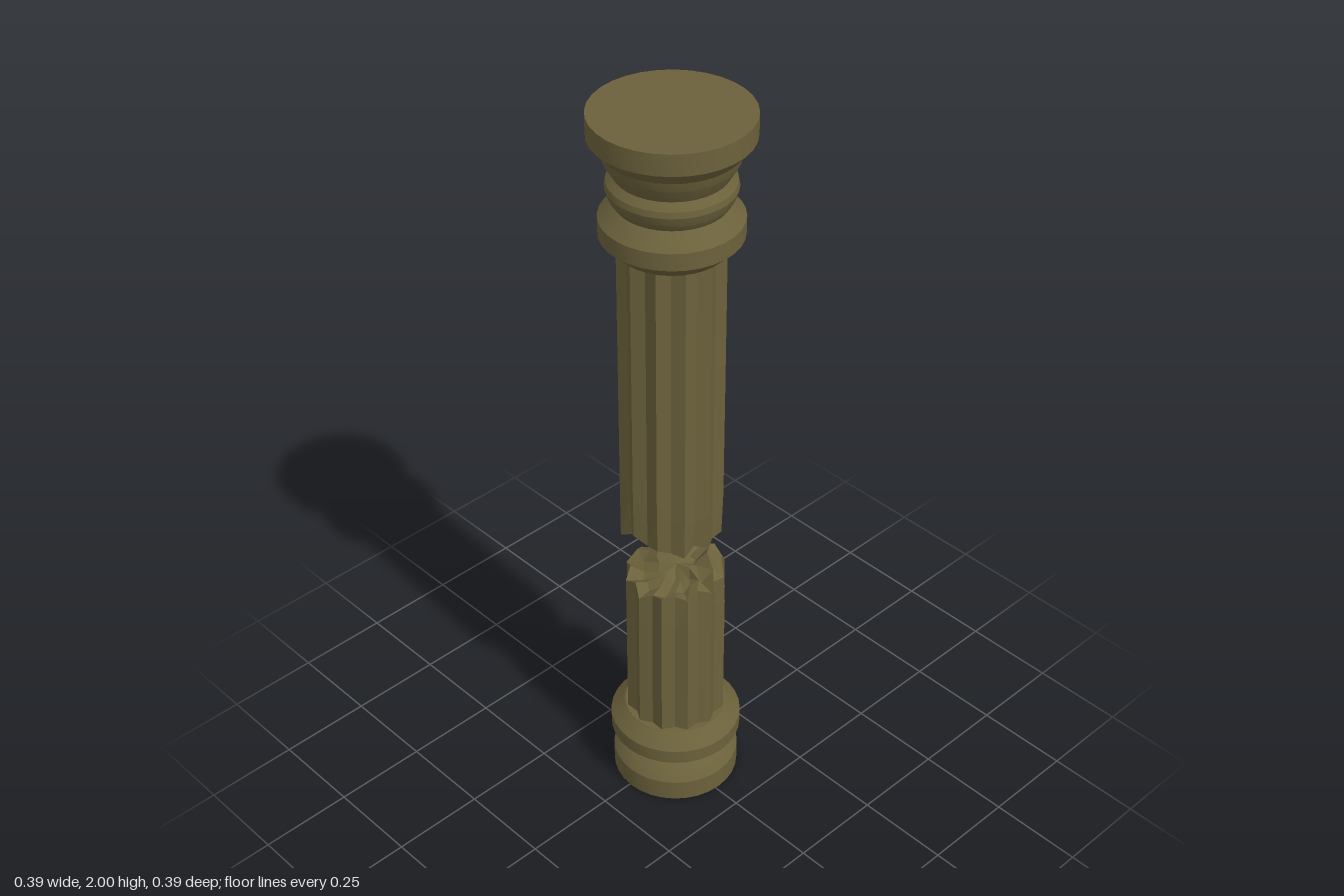
import * as THREE from 'three';
import { toCreasedNormals } from 'three/addons/utils/BufferGeometryUtils.js';

const SIDES = 24; // twelve flutes: ridge, groove, ridge, groove...
const stone = new THREE.MeshStandardMaterial({ color: 0x6b613b });
const roughStone = new THREE.MeshStandardMaterial({ color: 0x6b613b, flatShading: true });

// repeatable noise in -1..1
function noise(i, k) {
  const s = Math.sin(i * 127.1 + k * 311.7) * 43758.5453;
  return 2 * (s - Math.floor(s)) - 1;
}

// turned moulding from [radius, height] pairs, bottom to top
function moulding(name, profile) {
  const points = profile.map(([r, y]) => new THREE.Vector2(r, y));
  const geometry = toCreasedNormals(new THREE.LatheGeometry(points, 32), 0.3);
  const mesh = new THREE.Mesh(geometry, stone);
  mesh.name = name;
  return mesh;
}

// one ring of the fluted outline; height(x, z, j) gives each corner's y
function ring(scale, height, roughness = 0, seed = 0) {
  return Array.from({ length: SIDES }, (_, j) => {
    const a = (j / SIDES) * Math.PI * 2;
    const r = (j % 2 ? 0.121 : 0.136) * scale + roughness * noise(j, seed);
    const x = r * Math.sin(a), z = r * Math.cos(a);
    return [x, height(x, z, j), z];
  });
}

// skin a list of rings, ordered so that the faces point outward
function shaft(name, rings) {
  const index = [];
  for (let i = 0; i < rings.length - 1; i++) {
    for (let j = 0; j < SIDES; j++) {
      const a = i * SIDES + j, b = i * SIDES + (j + 1) % SIDES;
      index.push(a, b, b + SIDES, a, b + SIDES, a + SIDES);
    }
  }
  const geometry = new THREE.BufferGeometry();
  geometry.setAttribute('position', new THREE.Float32BufferAttribute(rings.flat(2), 3));
  geometry.setIndex(index);
  geometry.computeVertexNormals();
  const mesh = new THREE.Mesh(geometry, roughStone);
  mesh.name = name;
  return mesh;
}

// rounded rise or dip around (cx, cz)
const bump = (x, z, cx, cz, size) =>
  Math.exp(-((x - cx) ** 2 + (z - cz) ** 2) / (size * size));

// fracture surface of the lower stump: peaks at the back and left
const lowerBreak = (amount, seed) => (x, z, j) => 0.665
  + 0.07 * bump(x, z, 0.05, -0.08, 0.04)
  + 0.06 * bump(x, z, -0.06, 0, 0.035)
  + 0.025 * bump(x, z, 0, 0, 0.05) + amount * noise(j, seed);

// fracture surface of the hanging half: hollow core, notches front and left
const upperBreak = (amount, seed) => (x, z, j) => 0.82
  + 0.05 * bump(x, z, 0, 0, 0.07)
  + 0.03 * bump(x, z, 0, 0.13, 0.04)
  + 0.03 * bump(x, z, -0.13, 0, 0.04) + amount * noise(j, seed);

export function createModel() {
  const group = new THREE.Group();
  group.name = 'brokenColumn';

  // lower half: base moulding and stump
  const lower = new THREE.Group();
  lower.name = 'lowerHalf';
  lower.position.set(0.004, 0, 0.01 * -1);
  lower.add(moulding('base', [
    [0, 0], [0.168, 0], [0.168, 0.06], [0.15, 0.085], [0.132, 0.1],
    [0.14, 0.11], [0.174, 0.142], [0.174, 0.182], [0.136, 0.22], [0, 0.22],
  ]));
  lower.add(shaft('lowerShaft', [
    ring(0.97, () => 0.2),
    ring(0.97, (x, z, j) => 0.56 + 0.05 * noise(j, 1)),
    ring(0.95, lowerBreak(0.022, 2), 0.004, 3),
    ring(0.68, lowerBreak(0.02, 4), 0.008, 5),
    ring(0.36, lowerBreak(0.012, 6), 0.005, 7),
    ring(0, () => 0.69),
  ]));
  group.add(lower);

  // upper half: shaft and capital
  const upper = new THREE.Group();
  upper.name = 'upperHalf';
  upper.add(shaft('upperShaft', [
    ring(0, () => 0.875),
    ring(0.36, upperBreak(0.014, 11), 0.005, 12),
    ring(0.68, upperBreak(0.018, 13), 0.007, 14),
    ring(0.96, upperBreak(0.016, 15), 0.004, 16),
    ring(0.98, (x, z, j) => 0.96 + 0.06 * noise(j, 17)),
    ring(0.98, () => 1.68),
  ]));
  upper.add(moulding('capital', [
    [0, 1.655], [0.136, 1.655], [0.172, 1.69], [0.172, 1.735], [0.135, 1.772],
    [0.148, 1.792], [0.155, 1.815], [0.152, 1.83], [0.136, 1.847],
    [0.158, 1.885], [0.165, 1.91], [0.195, 1.945], [0.195, 2], [0, 2],
  ]));
  group.add(upper);

  return group;
}
